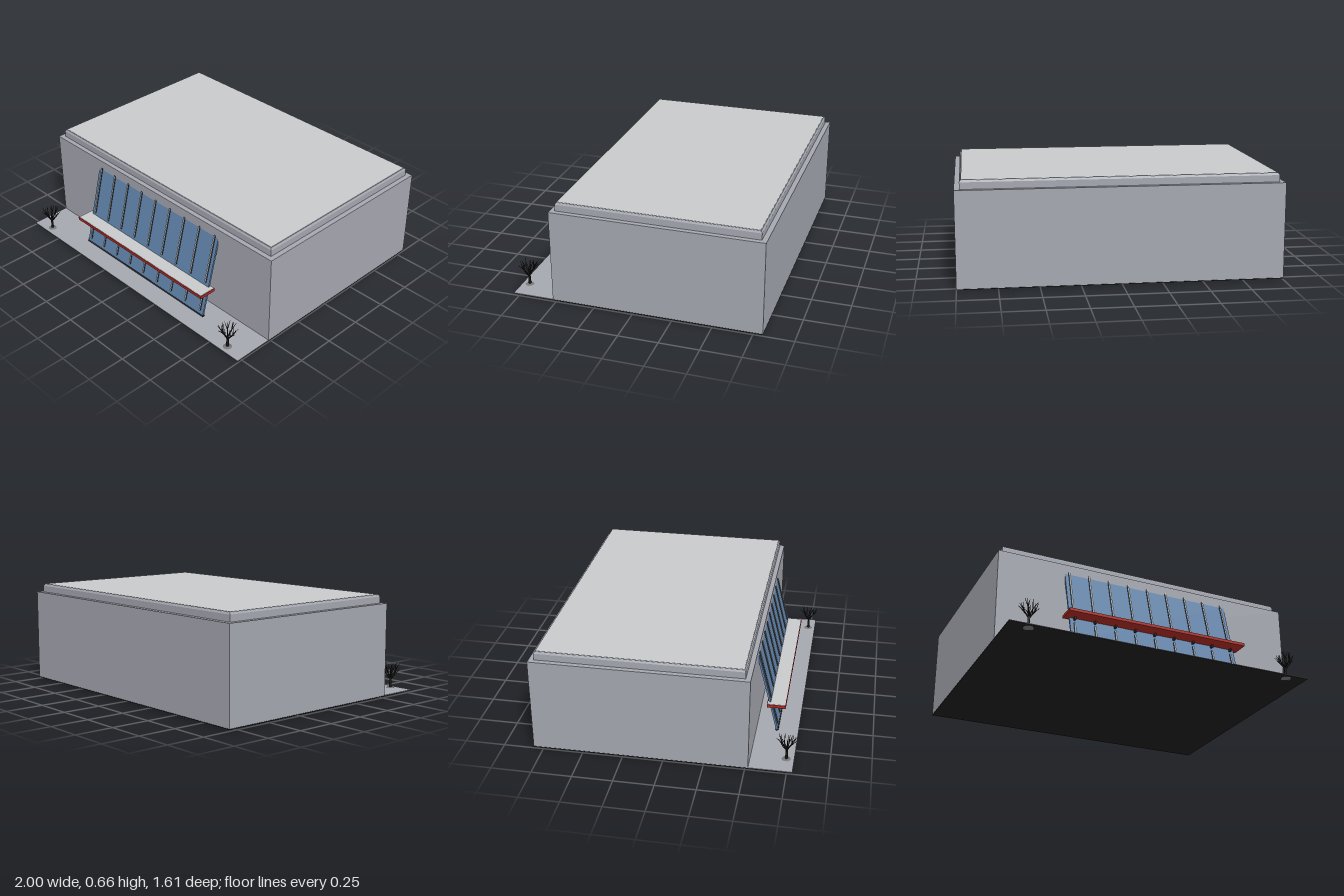
import * as THREE from 'three';

const mat = (name, color, side = THREE.FrontSide) => {
  const m = new THREE.MeshStandardMaterial({ color, side });
  m.name = name;
  return m;
};

export function createModel() {
  const wall = mat('grey wall', 0xa5a7b0);
  const roofLight = mat('light roof', 0xc8c9cb);
  const glass = mat('blue glass', 0x5f83aa);
  const red = mat('red trim', 0xb02a22);
  const dark = mat('dark frame', 0x26292d);
  const pale = mat('pale mullion', 0xc3c8cc);
  const bark = mat('black bark', 0x1c1b19);
  const soil = mat('planter grey', 0x77787a);
  const under = mat('dark underside', 0x1e1e1e);

  const model = new THREE.Group();
  model.name = 'storeBuilding';

  const add = (parent, name, geometry, material, x = 0, y = 0, z = 0) => {
    const mesh = new THREE.Mesh(geometry, material);
    mesh.name = name;
    mesh.position.set(x, y, z);
    parent.add(mesh);
    return mesh;
  };
  // Box given by its extents
  const box = (parent, name, material, x0, x1, y0, y1, z0, z1) =>
    add(parent, name, new THREE.BoxGeometry(x1 - x0, y1 - y0, z1 - z0), material,
      (x0 + x1) / 2, (y0 + y1) / 2, (z0 + z1) / 2);

  // Main hall, forecourt and underside
  box(model, 'walls', wall, -1, 1, 0.014, 0.61, -0.81, 0.52);
  box(model, 'pavement', wall, -1, 1, 0.012, 0.016, 0.52, 0.785);
  box(model, 'underside', under, -1, 1, 0.01, 0.0125, -0.81, 0.785);

  // Raised roof with a chamfered upper edge
  box(model, 'roofCurb', wall, -0.968, 0.968, 0.61, 0.652, -0.778, 0.489);
  const chamfer = new THREE.BoxGeometry(1.936, 0.012, 1.267);
  const cp = chamfer.attributes.position;
  for (let i = 0; i < cp.count; i++) {
    if (cp.getY(i) > 0) {
      cp.setX(i, cp.getX(i) - Math.sign(cp.getX(i)) * 0.008);
      cp.setZ(i, cp.getZ(i) - Math.sign(cp.getZ(i)) * 0.008);
    }
  }
  chamfer.computeVertexNormals();
  add(model, 'roofChamfer', chamfer, wall, 0, 0.658, -0.1445);
  box(model, 'roofPanel', roofLight, -0.957, 0.957, 0.662, 0.666, -0.767, 0.478);

  // Leaning glass front with mullions
  const facade = new THREE.Group();
  facade.name = 'glassFront';
  facade.position.set(0, 0.02, 0.65);
  facade.rotation.x = -Math.atan2(0.14, 0.54);
  model.add(facade);
  const length = 0.555;
  box(facade, 'glassPane', glass, -0.565, 0.565, 0, length, -0.006, 0.006);
  box(facade, 'bottomRail', dark, -0.567, 0.567, -0.003, 0.006, -0.008, 0.008);
  for (let i = 0; i < 9; i++) {
    const x = -0.536 + i * 0.134;
    for (const [y0, y1] of [[0.03, 0.145], [0.225, length - 0.003]]) {
      box(facade, 'mullion', dark, x - 0.005, x + 0.005, y0, y1, 0.004, 0.013);
      box(facade, 'mullionFace', pale, x - 0.005, x + 0.005, y0, y1, 0.013, 0.015);
    }
    box(model, 'canopyBracket', dark, x - 0.005, x + 0.005, 0.182, 0.202, 0.61, 0.635);
  }

  // Flat canopy with a red edge and a pale deck
  box(model, 'canopy', red, -0.598, 0.598, 0.2, 0.219, 0.582, 0.7);
  box(model, 'canopyDeck', roofLight, -0.594, 0.594, 0.218, 0.221, 0.586, 0.696);

  // Bare trees in round planters
  const up = new THREE.Vector3(0, 1, 0);
  const limb = (parent, name, a, b, r0, r1) => {
    const d = b.clone().sub(a);
    const mesh = add(parent, name, new THREE.CylinderGeometry(r1, r0, d.length(), 5), bark);
    mesh.position.copy(a).addScaledVector(d, 0.5);
    mesh.quaternion.setFromUnitVectors(up, d.normalize());
  };
  const polar = (angle, r, y) => new THREE.Vector3(Math.cos(angle) * r, y, Math.sin(angle) * r);
  for (const side of [-1, 1]) {
    const tree = new THREE.Group();
    tree.name = side > 0 ? 'leftTree' : 'rightTree';
    tree.position.set(side * 0.867, 0, 0.737);
    model.add(tree);
    const bed = add(tree, 'planterBed', new THREE.SphereGeometry(0.033, 16, 8), soil, 0, 0.011, 0);
    bed.scale.y = 0.3;
    limb(tree, 'trunk', new THREE.Vector3(0, 0.01, 0), new THREE.Vector3(0, 0.085, 0), 0.01, 0.007);
    for (let i = 0; i < 7; i++) {
      const a = (i / 7) * Math.PI * 2 + 0.3;
      const lift = (i % 3) * 0.008;
      const start = new THREE.Vector3(0, 0.072 + lift, 0);
      const fork = polar(a, 0.032, 0.112 + lift);
      limb(tree, 'branch', start, fork, 0.005, 0.0035);
      limb(tree, 'twig', fork, polar(a - 0.25, 0.063, 0.148 + lift), 0.003, 0.0012);
      limb(tree, 'twig', fork, polar(a + 0.3, 0.056, 0.162 + lift), 0.003, 0.0012);
      limb(tree, 'twig', fork, polar(a + 0.1, 0.036, 0.168 + lift), 0.003, 0.0012);
    }
    limb(tree, 'branch', new THREE.Vector3(0, 0.08, 0), new THREE.Vector3(0.006, 0.16, 0.004), 0.005, 0.0012);
  }

  return model;
}
